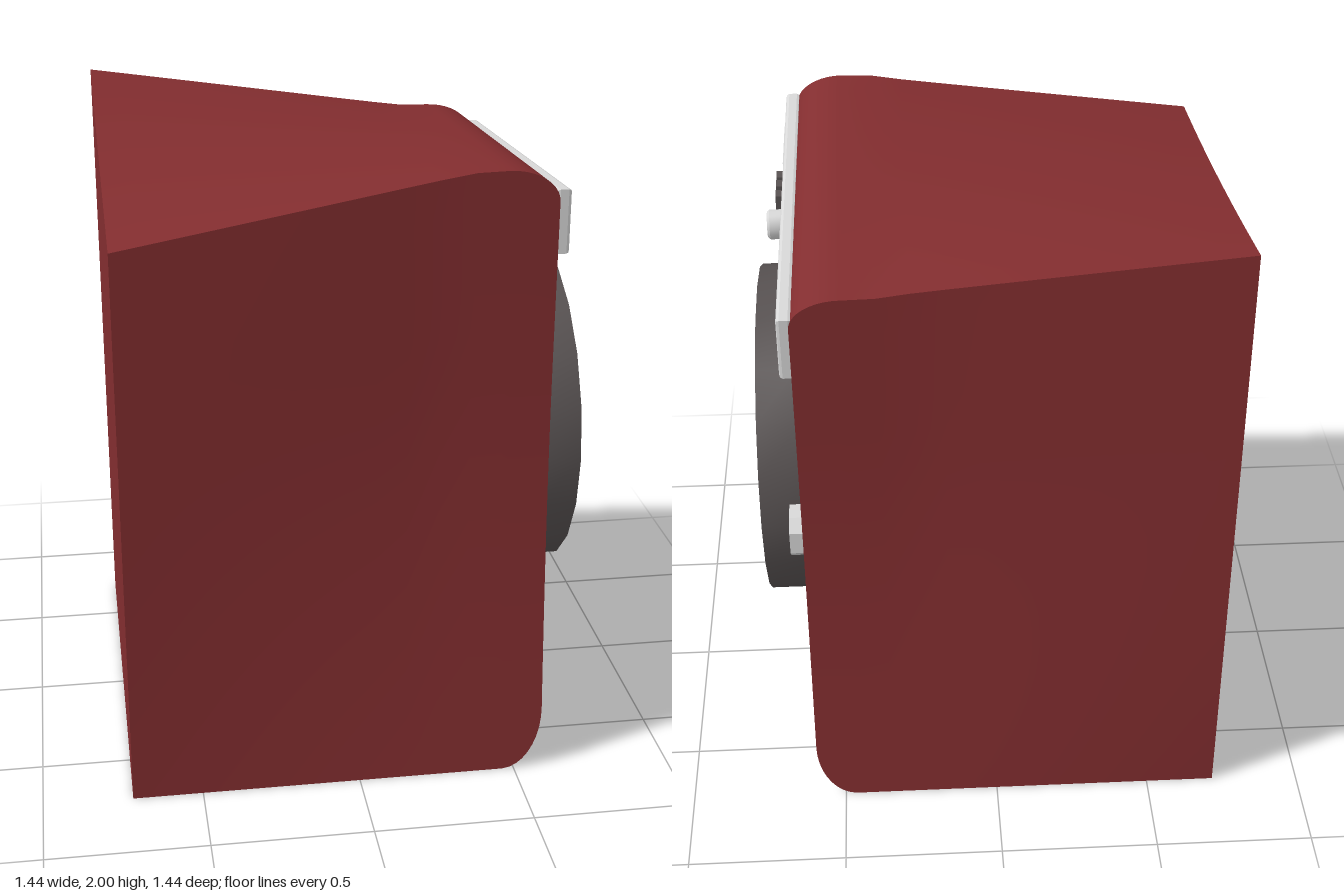
import * as THREE from 'three';
import { toCreasedNormals } from 'three/addons/utils/BufferGeometryUtils.js';

const BACK = -0.72, FRONT = 0.59, DOOR_Y = 0.995;
const clamp01 = t => Math.min(1, Math.max(0, t));

// Body rules: half width, top and bottom height along the depth, and the twist of the top
const halfWidth = (x, y) => {
  const back = 0.025 * y / 1.9, front = 0.09 * Math.sin(clamp01(y / 1.4) * Math.PI / 2);
  return 0.72 - THREE.MathUtils.lerp(back, front, clamp01((x - BACK) / 0.95));
};
const drop = (x, start) => 1 - Math.sqrt(1 - clamp01((x - start) / (FRONT - start)) ** 2);
const top = x => 1.89 + 0.015 * clamp01((x - BACK) / 1.08) - 0.095 * drop(x, 0.44);
const bottom = x => 0.2 * drop(x, 0.46);
const bodyPoint = (x, y, s) => {
  const t = clamp01((x - BACK) / 1.08);
  const lift = s * (-0.11 + 0.16 * t) - 0.015 * (1 - t) * (1 - s * s);
  return [x, y + lift * y / 1.9, s * halfWidth(x, y)];
};

// Depth stations, closer together around the rounded front corners
const stations = [];
for (let i = 0; i <= 12; i++) stations.push(BACK + 1.16 * i / 12);
for (let i = 1; i <= 10; i++) stations.push(0.44 + 0.15 * Math.sin(i / 10 * Math.PI / 2));

// Smooth patch from a point rule on a grid
function patch(nu, nv, rule) {
  const pos = [], index = [];
  for (let i = 0; i <= nu; i++) for (let j = 0; j <= nv; j++) pos.push(...rule(i, j / nv));
  for (let i = 0; i < nu; i++) for (let j = 0; j < nv; j++) {
    const a = i * (nv + 1) + j, b = a + nv + 1;
    index.push(a, b, b + 1, a, b + 1, a + 1);
  }
  const g = new THREE.BufferGeometry();
  g.setAttribute('position', new THREE.Float32BufferAttribute(pos, 3));
  g.setIndex(index);
  g.computeVertexNormals();
  return g;
}

// Turned part whose axis points out of the front
function turned(points, segments) {
  const g = new THREE.LatheGeometry(points.map(p => new THREE.Vector2(...p)), segments);
  return toCreasedNormals(g.rotateX(Math.PI / 2), 0.6);
}

// Sloped plate following the slant of the control panel
const panelLine = x => 1.746 - 0.08 * x;
function slantedPlate(x0, x1, height, depth, bevel) {
  const h = height / 2 - bevel, a = x0 + bevel, b = x1 - bevel;
  const shape = new THREE.Shape([
    new THREE.Vector2(a, panelLine(a) - h), new THREE.Vector2(b, panelLine(b) - h),
    new THREE.Vector2(b, panelLine(b) + h), new THREE.Vector2(a, panelLine(a) + h)]);
  return new THREE.ExtrudeGeometry(shape, {
    depth: depth - bevel, bevelEnabled: bevel > 0,
    bevelSize: bevel, bevelThickness: bevel, bevelSegments: 2
  });
}

export function createModel() {
  const paint = (name, color, side = THREE.FrontSide) => {
    const m = new THREE.MeshStandardMaterial({ color, side });
    m.name = name;
    return m;
  };
  const red = paint('red enamel', 0x822d2f);
  const grey = paint('dark grey', 0x585252);
  const white = paint('light grey', 0xd8d8d8, THREE.DoubleSide);

  const model = new THREE.Group();
  model.name = 'washingMachine';
  const add = (parent, name, geometry, material, x = 0, y = 0, z = 0) => {
    const m = new THREE.Mesh(geometry, material);
    m.name = name;
    m.position.set(x, y, z);
    parent.add(m);
    return m;
  };

  // Cabinet
  const body = new THREE.Group();
  body.name = 'cabinet';
  model.add(body);
  const n = stations.length - 1;
  const sidePoint = (x, t, s) => bodyPoint(x, THREE.MathUtils.lerp(bottom(x), top(x), t), s);
  add(body, 'topPanel', patch(n, 16, (i, t) => sidePoint(stations[i], 1, 1 - 2 * t)), red);
  add(body, 'bottomPanel', patch(n, 4, (i, t) => sidePoint(stations[i], 0, 2 * t - 1)), red);
  add(body, 'leftSide', patch(n, 16, (i, t) => sidePoint(stations[i], t, 1)), red);
  add(body, 'rightSide', patch(n, 16, (i, t) => sidePoint(stations[n - i], t, -1)), red);
  add(body, 'backPanel', patch(16, 12, (i, t) => sidePoint(BACK, t, i / 8 - 1)), red);

  // Everything on the front is built facing +z, then turned to face +x
  const front = new THREE.Group();
  front.name = 'frontAssembly';
  front.rotation.y = Math.PI / 2;
  front.position.x = FRONT;
  model.add(front);

  // Front panel with the round opening
  const edge = s => Array.from({ length: 17 }, (_, i) => {
    const [, y, z] = sidePoint(FRONT, i / 16, s);
    return new THREE.Vector2(-z, y);
  });
  const face = new THREE.Shape([...edge(-1), ...edge(1).reverse()]);
  const hole = Array.from({ length: 20 }, (_, i) => {
    const a = i / 20 * Math.PI * 2;
    return new THREE.Vector2(0.4 * Math.cos(a), DOOR_Y + 0.392 * Math.sin(a));
  });
  face.holes.push(new THREE.Path(hole.reverse()));
  add(front, 'frontPanel', new THREE.ShapeGeometry(face), red);

  // Door ring and drum bowl
  const door = new THREE.Group();
  door.name = 'door';
  door.position.y = DOOR_Y;
  door.scale.y = 0.98;
  front.add(door);
  add(door, 'doorRing', turned([[0.545, 0], [0.545, 0.13], [0.387, 0.13], [0.387, 0]], 20), grey);
  add(door, 'drumWall', turned([[0.4, 0.004], [0.387, 0.004], [0.385, -0.1]], 20), white);
  const bowl = Array.from({ length: 9 }, (_, i) => {
    const a = i / 8 * Math.PI / 2;
    return [0.385 * Math.cos(a), -0.1 - 0.2 * Math.sin(a)];
  });
  add(door, 'drumBowl', turned(bowl, 20), white);

  // Door latch
  const latch = new THREE.Shape([[0.5, 0.925], [0.6, 0.925], [0.635, 0.96], [0.635, 1.035], [0.6, 1.07], [0.5, 1.07]]
    .map(p => new THREE.Vector2(...p)));
  add(front, 'doorLatch', new THREE.ExtrudeGeometry(latch, { depth: 0.04, bevelEnabled: false }), white);

  // Control panel
  add(front, 'controlPanel', slantedPlate(-0.63, 0.63, 0.195, 0.035, 0.01), white);
  add(front, 'drawerHandleRecess', slantedPlate(-0.565, -0.33, 0.042, 0.004, 0), grey, 0, 0, 0.032);
  add(front, 'drawerHandle', slantedPlate(-0.56, -0.335, 0.034, 0.012, 0), white, 0, 0, 0.032);
  for (const x of [-0.24, -0.188, -0.13])
    add(front, 'button', slantedPlate(x - 0.019, x + 0.019, 0.058, 0.03, 0), grey, 0, 0.005, 0.03);
  add(front, 'display', slantedPlate(0.18, 0.41, 0.088, 0.006, 0), grey, 0, -0.002, 0.033);
  const knob = turned([[0.04, 0], [0.04, 0.04], [0.034, 0.048], [0, 0.048]], 20);
  add(front, 'knob', knob, white, 0, 1.752, 0.034).scale.y = 1.2;

  return model;
}
